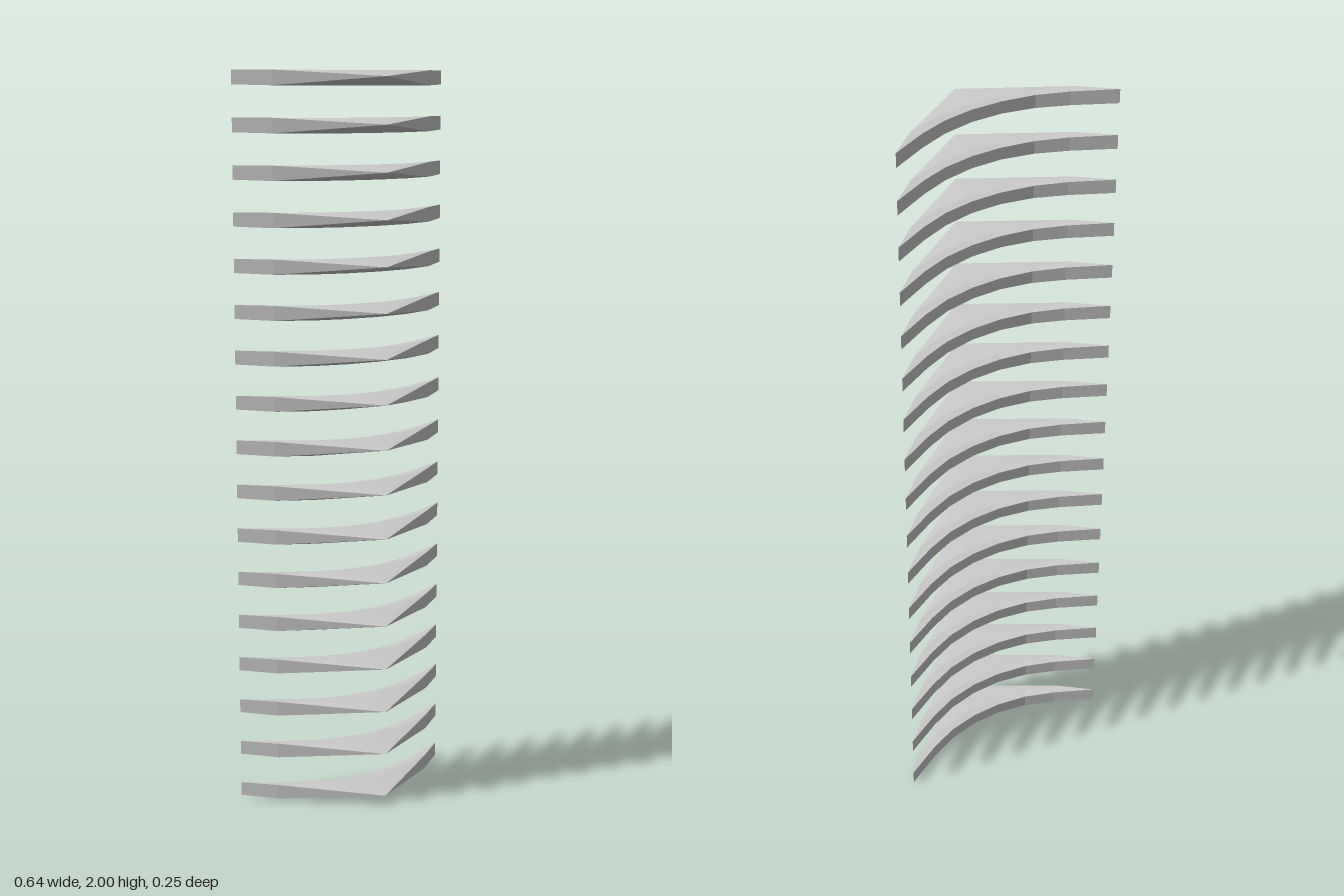
import * as THREE from 'three';

const COUNT = 17, PITCH = 0.1222;

// One boomerang-shaped vane: curved back edge, bevelled ridge, pointed nose.
function vaneGeometry() {
  const mirror = (half) => [...half.map(([x, z, h]) => [-x, z, h]), ...half.slice().reverse()];
  // [x, z, half thickness], from wing tip to middle
  const back = mirror([[0.32, -0.127, 0.0187], [0.212, -0.07, 0.018], [0.13, -0.037, 0.017], [0.043, -0.02, 0.016]]);
  const ridge = mirror([[0.32, -0.127, 0.0187], [0.24, -0.055, 0.02], [0.145, -0.016, 0.02], [0.05, 0, 0.02]]);
  const pt = ([x, z, h], side) => [x, 0.022 + side * h - 0.009 * x, z];
  const nose = [0, 0.028, 0.125];
  const pos = [];
  const tri = (a, b, c) => pos.push(...a, ...b, ...c);
  const quad = (a, b, c, d) => { tri(a, b, c); tri(a, c, d); };
  const [bt, bb, rt, rb] = [[back, 1], [back, -1], [ridge, 1], [ridge, -1]].map(([row, s]) => row.map((p) => pt(p, s)));

  for (let i = 0; i < 7; i++) {
    const j = i + 1;
    quad(bt[i], rt[i], rt[j], bt[j]); // upper bevel
    quad(bb[j], rb[j], rb[i], bb[i]); // lower bevel
    quad(bt[i], bt[j], bb[j], bb[i]); // back face
    if (i > 0 && i < 6) {
      tri(rt[i], nose, rt[j]); // upper face
      tri(rb[j], nose, rb[i]); // lower face
    }
  }
  // Front faces of both wings, tapering to the nose
  for (const i of [0, 6]) quad(rt[i], rb[i], rb[i + 1], rt[i + 1]);
  tri(rt[1], rb[1], nose);
  tri(nose, rb[6], rt[6]);

  const g = new THREE.BufferGeometry();
  g.setAttribute('position', new THREE.Float32BufferAttribute(pos, 3));
  g.computeVertexNormals();
  return g;
}

export function createModel() {
  const model = new THREE.Group();
  model.name = 'vaneStack';
  const geometry = vaneGeometry();
  const material = new THREE.MeshStandardMaterial({ color: 0xcccccc, flatShading: true });
  for (let i = 0; i < COUNT; i++) {
    const vane = new THREE.Mesh(geometry, material);
    vane.name = `vane${i + 1}`;
    vane.position.y = i * PITCH;
    model.add(vane);
  }
  return model;
}
